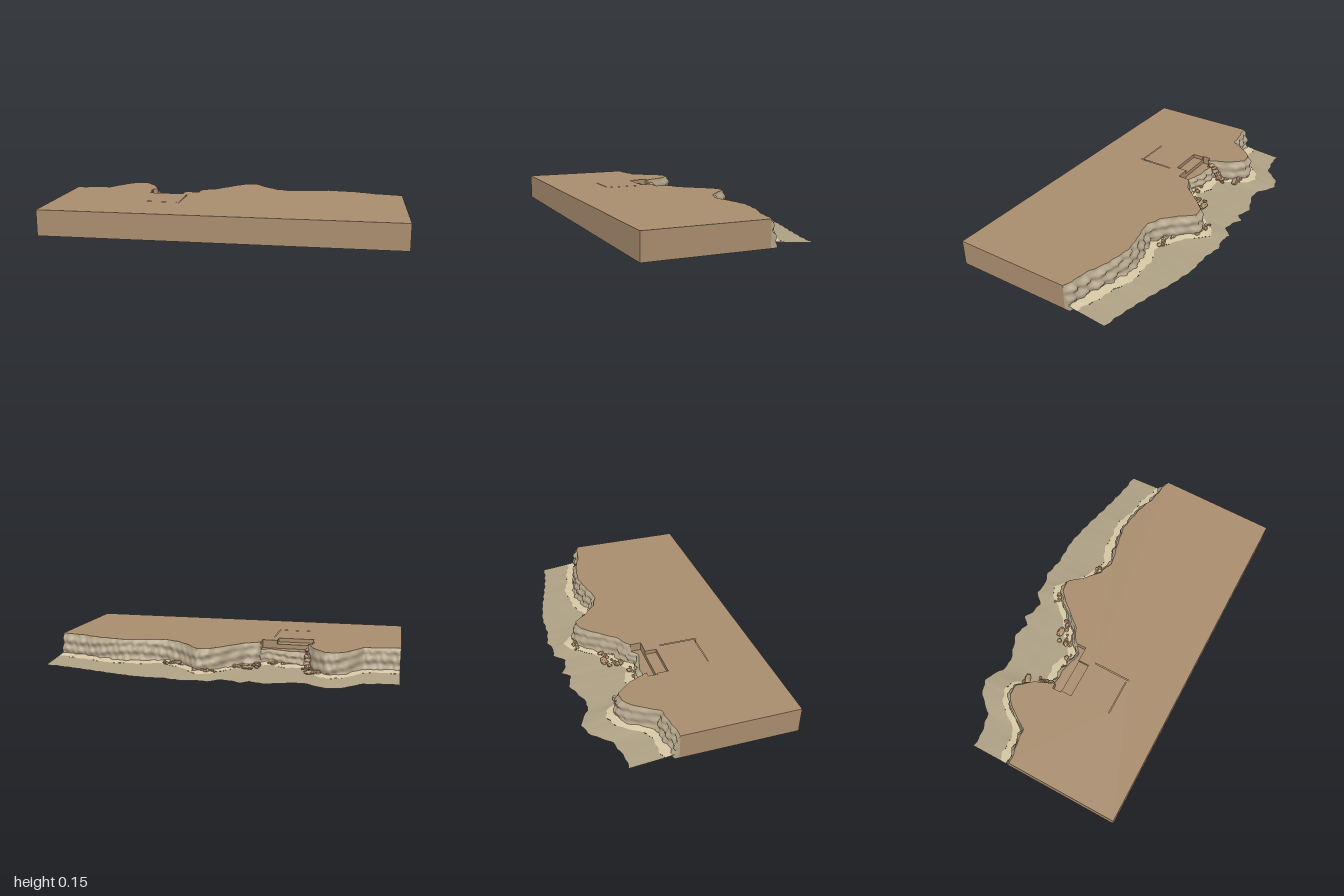
import * as THREE from 'three';

const FRONT = 0.54, TOP = 0.147, LEDGE = 0.1;
const NOTCH = [-0.485, -0.215];

// Plan lines as [x, z]: cliff brow and seaward edge of the beach
const BROW = [[-1, -.11], [-.8, -.14], [-.72, -.26], [-.66, -.31], [-.6, -.31], [-.53, -.22], [-.49, -.13],
  [-.37, -.12], [-.25, -.09], [-.2, -.14], [-.13, -.18], [-.05, -.27], [.03, -.36], [.1, -.37], [.16, -.3],
  [.25, -.22], [.33, -.19], [.43, -.21], [.56, -.24], [.72, -.22], [.83, -.18], [1, -.145]];
const SHORE = [[-1, -.37], [-.92, -.37], [-.8, -.4], [-.72, -.49], [-.64, -.52], [-.58, -.5], [-.53, -.46], [-.46, -.45],
  [-.38, -.48], [-.3, -.51], [-.22, -.48], [-.18, -.52], [-.12, -.49], [-.06, -.48], [0, -.535], [.06, -.52],
  [.14, -.542], [.24, -.52], [.4, -.52], [.55, -.49], [.7, -.45], [.82, -.42], [.92, -.4], [1, -.39]];

function along(line, x) {
  let i = 0;
  while (i < line.length - 2 && x > line[i + 1][0]) i++;
  const [a, b] = [line[i], line[i + 1]];
  return a[1] + (b[1] - a[1]) * (x - a[0]) / (b[0] - a[0]);
}
const brow = x => along(BROW, x) + 0.004 * Math.sin(x * 61) * Math.cos(x * 23);
const shore = x => along(SHORE, x) + 0.003 * Math.sin(x * 83);
const sandLine = x => (brow(x - 0.02) + brow(x + 0.02)) / 2 - 0.078 - 0.008 * Math.sin(x * 31) - 0.004 * Math.sin(x * 97);

const material = (color, extra = {}) => new THREE.MeshStandardMaterial({ color, roughness: 1, ...extra });

function add(group, name, geometry, mat) {
  const mesh = new THREE.Mesh(geometry, mat);
  mesh.name = name;
  group.add(mesh);
  return mesh;
}

// Surface from a rule giving a point for every column and row
function sheet(cols, rows, point) {
  const pos = [], index = [];
  for (let i = 0; i <= cols; i++) {
    for (let j = 0; j <= rows; j++) {
      pos.push(...point(i, j));
      if (i < cols && j < rows) {
        const a = i * (rows + 1) + j, b = a + rows + 1;
        index.push(a, a + 1, b, b, a + 1, b + 1);
      }
    }
  }
  const g = new THREE.BufferGeometry();
  g.setAttribute('position', new THREE.Float32BufferAttribute(pos, 3));
  g.setIndex(index);
  g.computeVertexNormals();
  return g;
}

// Horizontal slab from a plan outline, between two heights
function slab(outline, y0, y1, holes = []) {
  const toPoints = list => list.map(([x, z]) => new THREE.Vector2(x, -z));
  const shape = new THREE.Shape(toPoints(outline));
  holes.forEach(h => shape.holes.push(new THREE.Path(toPoints(h))));
  return new THREE.ExtrudeGeometry(shape, { depth: y1 - y0, bevelEnabled: false })
    .rotateX(-Math.PI / 2).translate(0, y0, 0);
}
const rect = (x0, x1, z0, z1) => [[x0, z0], [x1, z0], [x1, z1], [x0, z1]];

export function createModel() {
  const model = new THREE.Group();
  model.name = 'coastalCliff';
  const earth = material(0xa98d6e);
  const rock = material(0xb5a68c, { side: THREE.DoubleSide });
  const stone = material(0xb5936f, { flatShading: true });

  // Plateau: a full lower layer and an upper layer cut by the terrace and trenches
  const N = 320;
  const edge = [];
  for (let i = 0; i <= N; i++) {
    const x = -1 + 2 * i / N;
    edge.push([x, brow(x)]);
  }
  const front = [[1, FRONT], [-1, FRONT]];
  add(model, 'plateauBase', slab([...edge, ...front], 0, LEDGE), earth);
  const notch = [[-.485, -.115], [-.515, -.115], [-.515, -.065], [-.505, -.065], [-.505, 0], [-.3, 0],
    [-.3, -.065], [-.215, -.065], [-.215, brow(-.215)]];
  const upper = [...edge.filter(p => p[0] < NOTCH[0]), ...notch, ...edge.filter(p => p[0] > NOTCH[1]), ...front];
  const trenches = [rect(-.273, -.268, .03, .25), rect(-.49, -.285, .235, .239)];
  add(model, 'plateauTop', slab(upper, LEDGE, TOP, trenches), earth);
  add(model, 'terraceStep', slab(rect(-.505, -.3, -.065, 0), LEDGE, 0.125), earth);

  // Cliff face: weathered ledges, closed at both ends and beneath
  const R = 16;
  add(model, 'cliffFace', sheet(N + 2, R + 1, (i, j) => {
    const x = -1 + 2 * THREE.MathUtils.clamp(i - 1, 0, N) / N;
    const closed = i === 0 || i === N + 2 || j === 0;
    const v = Math.max(j - 1, 0) / R;
    const height = x > NOTCH[0] && x < NOTCH[1] ? LEDGE : TOP;
    const strata = 0.006 * Math.sin(v * 17 + 2 * Math.sin(x * 9)) + 0.005 * Math.sin(x * 70 + v * 5)
      + 0.003 * Math.sin(x * 143 - v * 11);
    const out = closed ? 0 : Math.max(0.002, 0.012 + 0.018 * (1 - v) + strata) * Math.min(1, (1 - v) * 6);
    return [x, height * v, brow(x) - out];
  }), rock);

  // Beach: pale sand below the cliff, then a darker shelf thinning to the water line
  const strip = (rows, z0, y0, z1, y1) => sheet(N, rows, (i, j) => {
    const x = -1 + 2 * i / N, t = j / rows;
    return [x, THREE.MathUtils.lerp(y0, y1, t) + 0.001 * Math.sin(x * 40) * (1 - t),
      THREE.MathUtils.lerp(z0(x), z1(x), t)];
  });
  add(model, 'sand', strip(3, x => brow(x) - 0.004, 0.034, sandLine, 0.023),
    material(0xd6c7a4, { side: THREE.DoubleSide }));
  add(model, 'shoreShelf', strip(4, sandLine, 0.023, shore, 0.007),
    material(0xada084, { side: THREE.DoubleSide }));

  // Boulders: uneven flattened stones
  let seed = 7;
  const rand = () => (seed = (seed * 16807) % 2147483647) / 2147483647;
  function boulder(x, y, z, w, h, d) {
    const g = new THREE.IcosahedronGeometry(0.5, 1);
    const p = g.attributes.position, k = rand() * 6;
    for (let i = 0; i < p.count; i++) {
      const [a, b, c] = [p.getX(i), p.getY(i), p.getZ(i)];
      const s = 1 + 0.14 * Math.sin(a * 7 + k) + 0.1 * Math.sin(b * 9 + c * 6 + k);
      p.setXYZ(i, a * s, b * s, c * s);
    }
    g.computeVertexNormals();
    const mesh = add(model, 'boulder', g, stone);
    mesh.position.set(x, y, z);
    mesh.scale.set(w, h, d);
    mesh.rotation.y = (rand() - 0.5) * 0.8;
  }
  // Large single stones: x, z, width, depth
  [[-.53, -.29, .1, .035], [-.62, -.325, .04, .025], [-.165, -.27, .06, .04], [-.09, -.268, .03, .04],
    [.08, -.38, .04, .03], [.2, -.285, .04, .03], [.24, -.255, .035, .03], [.32, -.265, .025, .025]]
    .forEach(([x, z, w, d]) => boulder(x, 0.03, z, w, 0.026, d));
  // Scattered rubble: centre x, z, spread x, z, count
  [[-.5, -.22, .04, .04, 9], [-.58, -.3, .05, .02, 6], [-.16, -.23, .06, .03, 12], [-.21, -.17, .02, .04, 6],
    [.05, -.39, .07, .012, 7], [.24, -.26, .07, .03, 10], [-.35, -.15, .1, .012, 6]]
    .forEach(([cx, cz, sx, sz, n]) => {
      for (let i = 0; i < n; i++) {
        const s = 0.012 + 0.016 * rand();
        boulder(cx + sx * (2 * rand() - 1), 0.03, cz + sz * (2 * rand() - 1), s * 1.3, s * 0.8, s);
      }
    });
  // Stacked rock spur beside the terrace
  for (let i = 0; i < 6; i++) {
    boulder(-.495 + 0.006 * (i % 2), 0.035 + i * 0.016, -.21 + i * 0.014, 0.036, 0.03, 0.045);
  }
  return model;
}
